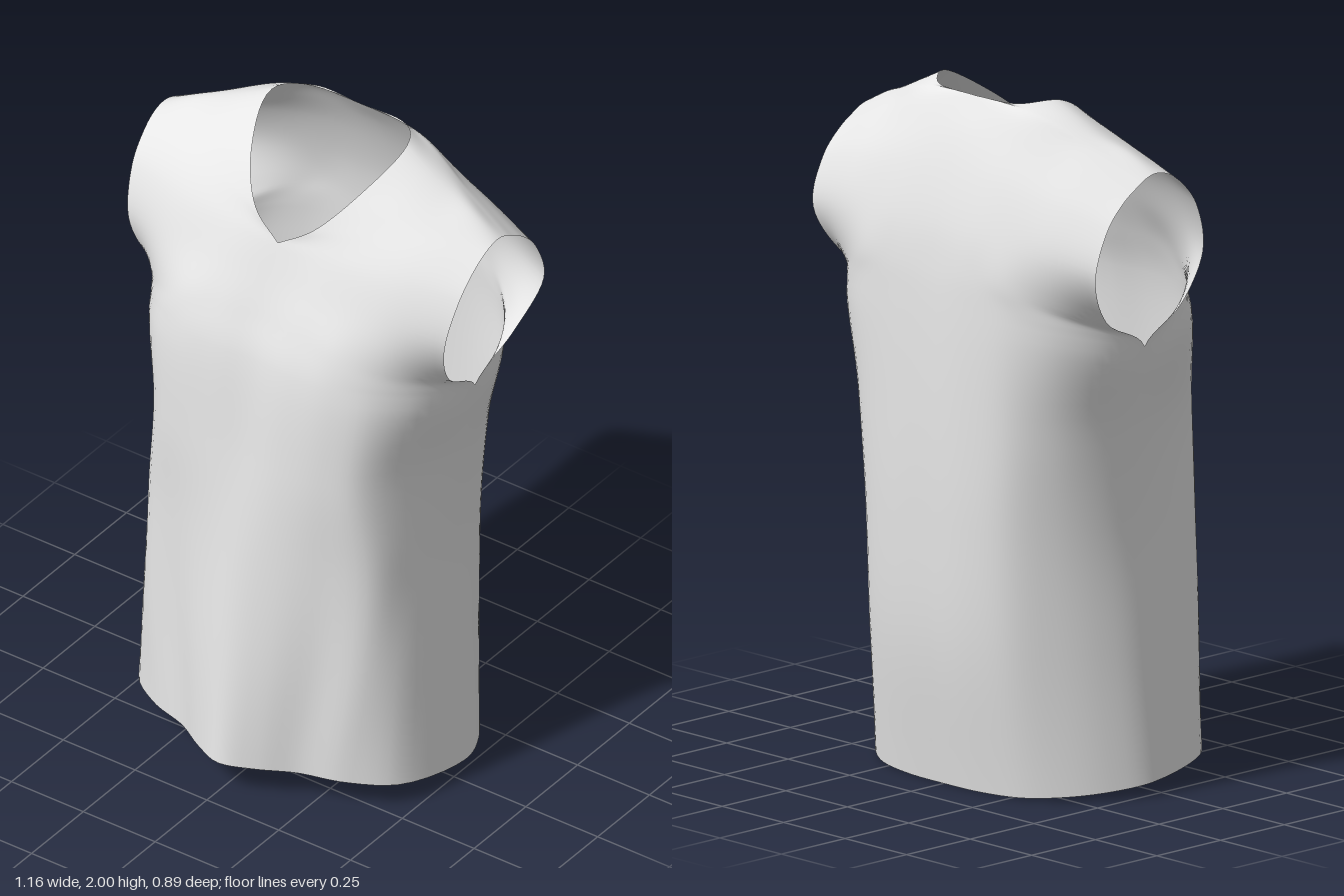
import * as THREE from 'three';
import { mergeGeometries, mergeVertices } from 'three/addons/utils/BufferGeometryUtils.js';

const V = (x, y, z) => new THREE.Vector3(x, y, z);
const COLS = 24; // divisions from the centre line to the side
const STEPS = 7; // divisions between two cross-sections
const ARMPIT = 4; // cross-section where the armhole starts

// Horizontal section of the body from x, z pairs; tilt slopes it towards the front
const level = (y, tilt, ...xz) => {
  const row = [];
  for (let i = 0; i < xz.length; i += 2) row.push(V(xz[i], y + tilt * xz[i + 1], xz[i + 1]));
  return row;
};
// Section given by x, y, z triples, from neck or centre line to armhole
const line = (...n) => {
  const row = [];
  for (let i = 0; i < n.length; i += 3) row.push(V(n[i], n[i + 1], n[i + 2]));
  return row;
};

// Shoulder seam shared by both panels
const seam = line(0.235, 1.998, -0.14, 0.31, 1.96, -0.13, 0.4, 1.917, -0.12, 0.49, 1.885, -0.11, 0.58, 1.84, -0.1);

// Left half of the front panel, hem to shoulder, with a fold falling from the bust
const front = [
  level(0.045, 0.12, 0, 0.447, 0.1, 0.405, 0.2, 0.342, 0.33, 0.295, 0.457, 0.195, 0.51, -0.04),
  level(0.42, 0, 0, 0.41, 0.12, 0.377, 0.24, 0.315, 0.37, 0.27, 0.453, 0.165, 0.481, -0.06),
  level(0.78, 0, 0, 0.363, 0.12, 0.345, 0.25, 0.305, 0.385, 0.245, 0.437, 0.125, 0.461, -0.07),
  level(1.08, 0, 0, 0.32, 0.12, 0.323, 0.25, 0.306, 0.355, 0.26, 0.43, 0.125, 0.477, -0.075),
  line(0, 1.4, 0.275, 0.13, 1.4, 0.288, 0.26, 1.4, 0.28, 0.375, 1.395, 0.228, 0.47, 1.365, 0.11, 0.515, 1.32, -0.08),
  line(0, 1.52, 0.235, 0.14, 1.52, 0.25, 0.28, 1.505, 0.247, 0.41, 1.47, 0.185, 0.523, 1.42, 0.055),
  line(0, 1.63, 0.195, 0.18, 1.63, 0.2, 0.37, 1.61, 0.177, 0.55, 1.57, 0.115),
  line(0, 1.735, 0.157, 0.18, 1.745, 0.143, 0.37, 1.74, 0.12, 0.57, 1.72, 0.07),
  line(0.1, 1.8, 0.125, 0.25, 1.825, 0.078, 0.41, 1.82, 0.045, 0.577, 1.795, 0.005),
  line(0.19, 1.905, 0.02, 0.31, 1.895, -0.01, 0.44, 1.865, -0.03, 0.58, 1.83, -0.05),
  seam,
];

// Left half of the back panel, hem to shoulder
const back = [
  level(0.045, 0.12, 0, -0.372, 0.15, -0.367, 0.29, -0.335, 0.395, -0.26, 0.47, -0.16, 0.51, -0.04),
  level(0.42, 0, 0, -0.43, 0.15, -0.425, 0.28, -0.385, 0.375, -0.295, 0.445, -0.185, 0.481, -0.06),
  level(0.78, 0, 0, -0.443, 0.15, -0.44, 0.28, -0.402, 0.375, -0.308, 0.436, -0.195, 0.461, -0.07),
  level(1.08, 0, 0, -0.442, 0.15, -0.44, 0.295, -0.408, 0.395, -0.32, 0.455, -0.205, 0.477, -0.075),
  line(0, 1.4, -0.43, 0.15, 1.4, -0.433, 0.3, 1.4, -0.415, 0.42, 1.385, -0.347, 0.498, 1.355, -0.225, 0.515, 1.32, -0.08),
  line(0, 1.52, -0.42, 0.15, 1.52, -0.426, 0.3, 1.505, -0.415, 0.43, 1.465, -0.35, 0.533, 1.42, -0.245),
  line(0, 1.64, -0.4, 0.2, 1.635, -0.406, 0.39, 1.61, -0.382, 0.575, 1.57, -0.33),
  line(0, 1.78, -0.355, 0.2, 1.785, -0.355, 0.39, 1.755, -0.33, 0.58, 1.71, -0.285),
  line(0, 1.89, -0.305, 0.2, 1.89, -0.3, 0.38, 1.85, -0.262, 0.58, 1.78, -0.22),
  line(0, 1.985, -0.245, 0.2, 1.96, -0.255, 0.38, 1.893, -0.215, 0.58, 1.81, -0.175),
  line(0.16, 1.99, -0.236, 0.28, 1.96, -0.21, 0.43, 1.895, -0.17, 0.58, 1.83, -0.14),
  seam,
];

// Point between b and c on a smooth curve through four points
const spline = (a, b, c, d, t) => new THREE.CatmullRomCurve3([a, b, c, d]).getPoint((1 + t) / 3);
const beyond = (end, inner) => end.clone().multiplyScalar(2).sub(inner);

// Point on one cross-section, s = 0 at the centre or neck and 1 at the side
function across(panel, other, i, s) {
  const row = panel[i], n = row.length - 1;
  const first = row[0].x === 0 ? V(-row[1].x, row[1].y, row[1].z) : beyond(row[0], row[1]);
  const last = i <= ARMPIT ? other[i][other[i].length - 2] : beyond(row[n], row[n - 1]);
  const pts = [first, ...row, last];
  const k = Math.min(Math.floor(s * n), n - 1);
  return spline(pts[k], pts[k + 1], pts[k + 2], pts[k + 3], s * n - k);
}

// Half a panel lofted smoothly through its cross-sections
function halfPanel(panel, other, mirror) {
  const pos = [], index = [], segs = panel.length - 1;
  const flip = mirror !== (panel === back);
  const neck = panel.findIndex((row) => row[0].x > 0) - 1; // section where the neckline starts
  for (let r = 0; r <= segs * STEPS; r++) {
    const i = Math.min(Math.floor(r / STEPS), segs - 1), t = r / STEPS - i;
    for (let c = 0; c <= COLS; c++) {
      const s = c / COLS;
      const at = (k) => across(panel, other, k, s);
      const p1 = at(i), p2 = at(i + 1);
      const p0 = i > 0 ? at(i - 1) : beyond(p1, p2);
      const p3 = i + 2 <= segs ? at(i + 2) : across(other, panel, other.length - 2, s);
      // both panels share one side seam up to the armpit
      if (i === ARMPIT - 1) {
        const mid = across(other, panel, i + 2, s).add(p3).multiplyScalar(0.5);
        p3.lerp(mid, s ** 4);
      }
      // the inner edge turns sharply from the centre line into the neckline
      if (i === neck) p0.lerp(beyond(p1, p2), (1 - s) ** 4);
      if (i === neck - 1) p3.lerp(beyond(p2, p1), (1 - s) ** 4);
      const p = spline(p0, p1, p2, p3, t);
      pos.push(mirror ? -p.x : p.x, p.y, p.z);
      if (r < segs * STEPS && c < COLS) {
        const a = r * (COLS + 1) + c, b = a + 1, d = a + COLS + 1, e = d + 1;
        index.push(...(flip ? [a, d, b, b, d, e] : [a, b, d, b, e, d]));
      }
    }
  }
  const g = new THREE.BufferGeometry();
  g.setAttribute('position', new THREE.Float32BufferAttribute(pos, 3));
  g.setIndex(index);
  return g;
}

export function createModel() {
  const fabric = new THREE.MeshStandardMaterial({ color: 0xe6e6e6, side: THREE.DoubleSide });
  fabric.name = 'light grey fabric';

  // Four half panels sewn together along centre lines, sides and shoulders
  const halves = [false, true].flatMap((m) => [halfPanel(front, back, m), halfPanel(back, front, m)]);
  const shirt = mergeVertices(mergeGeometries(halves), 1e-4);
  shirt.computeVertexNormals();

  const mesh = new THREE.Mesh(shirt, fabric);
  mesh.name = 'sleevelessShirt';
  const group = new THREE.Group();
  group.name = 'sleevelessTop';
  group.add(mesh);
  return group;
}
